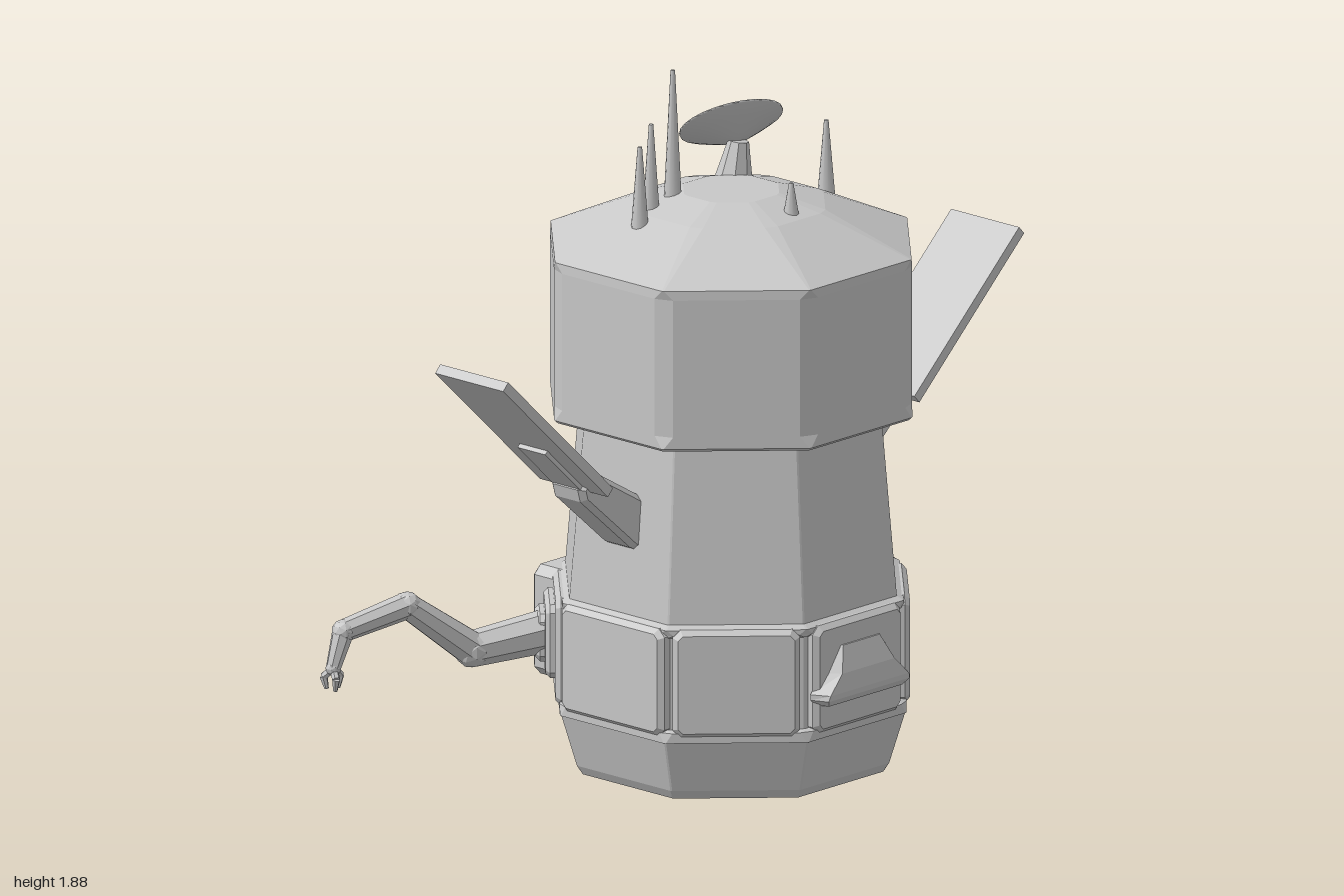
import * as THREE from 'three';

const CZ = 0.04; // depth of the tower's axis

export function createModel() {
  const root = new THREE.Group();
  const grey = new THREE.MeshStandardMaterial({ color: 0xc8c8c8 });

  const add = (name, geo, parent = root) => {
    const m = new THREE.Mesh(geo, grey);
    m.name = name;
    parent.add(m);
    return m;
  };
  const flat = (geo) => {
    const g = geo.index ? geo.toNonIndexed() : geo;
    g.computeVertexNormals();
    return g;
  };

  // Octagonal ring with its eight corners cut off
  const octagon = (y, apothem, cut) => {
    const half = apothem * Math.tan(Math.PI / 8) - cut;
    const pts = [];
    for (let k = 0; k < 8; k++) {
      const a = k * Math.PI / 4, c = Math.cos(a), s = Math.sin(a);
      for (const t of [-half, half]) pts.push([apothem * c - t * s, y, -(apothem * s + t * c)]);
    }
    return pts;
  };
  // Closed solid through rings that run upward, anticlockwise seen from above
  const loft = (rings) => {
    const pos = [], n = rings[0].length;
    const mid = (r) => [0, 1, 2].map((k) => r.reduce((s, p) => s + p[k], 0) / n);
    const low = rings[0], high = rings[rings.length - 1];
    for (let i = 0; i < n; i++) {
      const j = (i + 1) % n;
      for (let r = 0; r + 1 < rings.length; r++) {
        const a = rings[r], b = rings[r + 1];
        pos.push(...a[i], ...a[j], ...b[j], ...a[i], ...b[j], ...b[i]);
      }
      pos.push(...mid(low), ...low[j], ...low[i], ...mid(high), ...high[i], ...high[j]);
    }
    const g = new THREE.BufferGeometry();
    g.setAttribute('position', new THREE.Float32BufferAttribute(pos, 3));
    g.computeVertexNormals();
    return g;
  };
  const tower = (name, profile) => {
    const m = add(name, loft(profile.map(([y, a, c = 0.003]) => octagon(y, a, c))));
    m.position.z = CZ;
  };

  // Tower sections: [height, apothem, corner cut]
  tower('base', [[0, 0.395], [0.025, 0.41], [0.17, 0.452]]);
  tower('lowerLip', [[0.168, 0.455], [0.195, 0.455, 0.02], [0.2, 0.44]]);
  tower('core', [[0.17, 0.435], [0.48, 0.435]]);
  tower('upperLip', [[0.452, 0.44], [0.46, 0.448, 0.02], [0.475, 0.448], [0.485, 0.43]]);
  tower('shaft', [[0.48, 0.43], [0.97, 0.39]]);
  tower('head', [[0.97, 0.462], [0.978, 0.47], [1.01, 0.47, 0.028], [1.385, 0.47, 0.028],
    [1.41, 0.468], [1.515, 0.245, 0.02], [1.55, 0.125, 0.01]]);

  // Bevelled plate standing on z = 0, facing +z
  const plate = (w, h, d, bevel) => {
    const x = w / 2, y = h / 2, c = bevel * 1.5;
    const s = new THREE.Shape([[-x + c, -y], [x - c, -y], [x, -y + c], [x, y - c],
      [x - c, y], [-x + c, y], [-x, y - c], [-x, -y + c]].map((p) => new THREE.Vector2(...p)));
    return new THREE.ExtrudeGeometry(s, {
      depth: d - bevel, bevelEnabled: true, bevelThickness: bevel,
      bevelSize: bevel, bevelOffset: -bevel, bevelSegments: 1,
    });
  };
  const onFace = (name, geo, angle, out, y) => {
    const m = add(name, geo);
    m.position.set(Math.sin(angle) * out, y, CZ + Math.cos(angle) * out);
    m.rotation.y = angle;
    return m;
  };

  // Storage panels around the waist
  for (let k = 0; k < 8; k++) {
    const side = k === 2 || k === 6;
    onFace('waistPanel', plate(side ? 0.37 : 0.335, 0.295, 0.05, 0.014), k * Math.PI / 4, 0.415, 0.33);
  }
  onFace('backPack', plate(0.52, 0.3, 0.11, 0.016), Math.PI, 0.37, 0.33);
  onFace('backPlate', plate(0.34, 0.27, 0.03, 0.01), Math.PI, 0.46, 0.33);

  // Hood on the front panel: [y, half width at the wall, half width in front, front z]
  const hood = [[0.262, 0.155, 0.14, 0.525], [0.28, 0.175, 0.155, 0.538], [0.295, 0.175, 0.15, 0.54],
    [0.345, 0.13, 0.1, 0.535], [0.412, 0.085, 0.07, 0.51]];
  add('frontHood', loft(hood.map(([y, a, b, z]) =>
    [[-a, y, 0.49], [-b, y, z], [b, y, z], [a, y, 0.49]])));

  // Solar wings, mirrored left and right
  const bracket = new THREE.Shape([[0.37, 0.79], [0.39, 0.65], [0.43, 0.67], [0.62, 0.835],
    [0.63, 0.87], [0.595, 0.915], [0.565, 0.905]].map((p) => new THREE.Vector2(...p)));
  for (const side of [0, Math.PI]) {
    const wing = new THREE.Group();
    wing.name = side ? 'rightWing' : 'leftWing';
    wing.position.z = CZ - 0.005;
    wing.rotation.y = side;
    root.add(wing);
    const arm = add('wingBracket', new THREE.ExtrudeGeometry(bracket, {
      depth: 0.09, bevelEnabled: true, bevelThickness: 0.016, bevelSize: 0.014,
      bevelOffset: -0.014, bevelSegments: 1,
    }), wing);
    arm.position.z = -0.045;
    const tilt = Math.atan2(0.375, 0.4);
    const panel = add('solarPanel', new THREE.BoxGeometry(0.55, 0.028, 0.245), wing);
    panel.position.set(0.787, 1.058, 0);
    panel.rotation.z = tilt;
    const strip = add('panelMount', new THREE.BoxGeometry(0.22, 0.02, 0.1), wing);
    strip.position.set(0.672, 0.928, 0);
    strip.rotation.z = tilt;
  }

  // Roof antennas: [x, z, base y, tip y]
  for (const [x, z, y0, y1] of [[-0.275, -0.03, 1.48, 1.71], [-0.2, -0.06, 1.49, 1.75],
    [-0.117, -0.06, 1.52, 1.88], [0.29, 0.11, 1.48, 1.69], [0.012, 0.245, 1.5, 1.605]]) {
    const a = add('antenna', new THREE.CylinderGeometry(0.006, 0.024, y1 - y0, 10));
    a.position.set(x, (y0 + y1) / 2, z);
  }

  // Tapered rod between two points
  const rod = (name, a, b, ra, rb, sides = 8) => {
    const p = new THREE.Vector3(...a), q = new THREE.Vector3(...b);
    const m = add(name, flat(new THREE.CylinderGeometry(rb, ra, p.distanceTo(q), sides)));
    m.position.copy(p).add(q).multiplyScalar(0.5);
    m.quaternion.setFromUnitVectors(new THREE.Vector3(0, 1, 0), q.sub(p).normalize());
  };

  // Dish and its stem
  rod('dishStem', [0.125, 1.52, -0.07], [0.14, 1.63, -0.065], 0.052, 0.028);
  const dish = add('dish', new THREE.LatheGeometry([[0, -0.055], [0.04, -0.047], [0.1, -0.02],
    [0.14, 0], [0.14, 0.006], [0.07, -0.008], [0, -0.02]].map((p) => new THREE.Vector2(...p)), 24));
  dish.position.set(0.15, 1.67, -0.1);
  dish.quaternion.setFromUnitVectors(new THREE.Vector3(0, 1, 0),
    new THREE.Vector3(0.25, 0.78, -0.57).normalize());

  // Manipulator arm on the rear right diagonal
  onFace('armPlate', plate(0.2, 0.2, 0.035, 0.012), -Math.PI * 0.75, 0.455, 0.34);
  onFace('armSocket', plate(0.13, 0.13, 0.03, 0.012), -Math.PI * 0.75, 0.485, 0.34);
  const joints = [[-0.35, 0.35, -0.29], [-0.55, 0.325, -0.375], [-0.725, 0.468, -0.445],
    [-0.905, 0.425, -0.505], [-0.938, 0.33, -0.51]];
  const radii = [0.058, 0.048, 0.036, 0.03, 0.02];
  for (let i = 0; i < 4; i++) {
    rod('armSegment', joints[i], joints[i + 1], radii[i], radii[i + 1]);
    const j = add('armJoint', flat(new THREE.IcosahedronGeometry(radii[i + 1] * 1.05, 1)));
    j.position.set(...joints[i + 1]);
  }
  for (let k = 0; k < 3; k++) {
    const a = k * Math.PI * 2 / 3, c = Math.cos(a), s = Math.sin(a);
    const knuckle = [-0.938 + 0.026 * c, 0.305, -0.51 + 0.026 * s];
    rod('finger', [-0.938, 0.33, -0.51], knuckle, 0.011, 0.011, 6);
    rod('fingertip', knuckle, [-0.938 + 0.018 * c, 0.272, -0.51 + 0.018 * s], 0.011, 0.006, 6);
  }

  return root;
}
